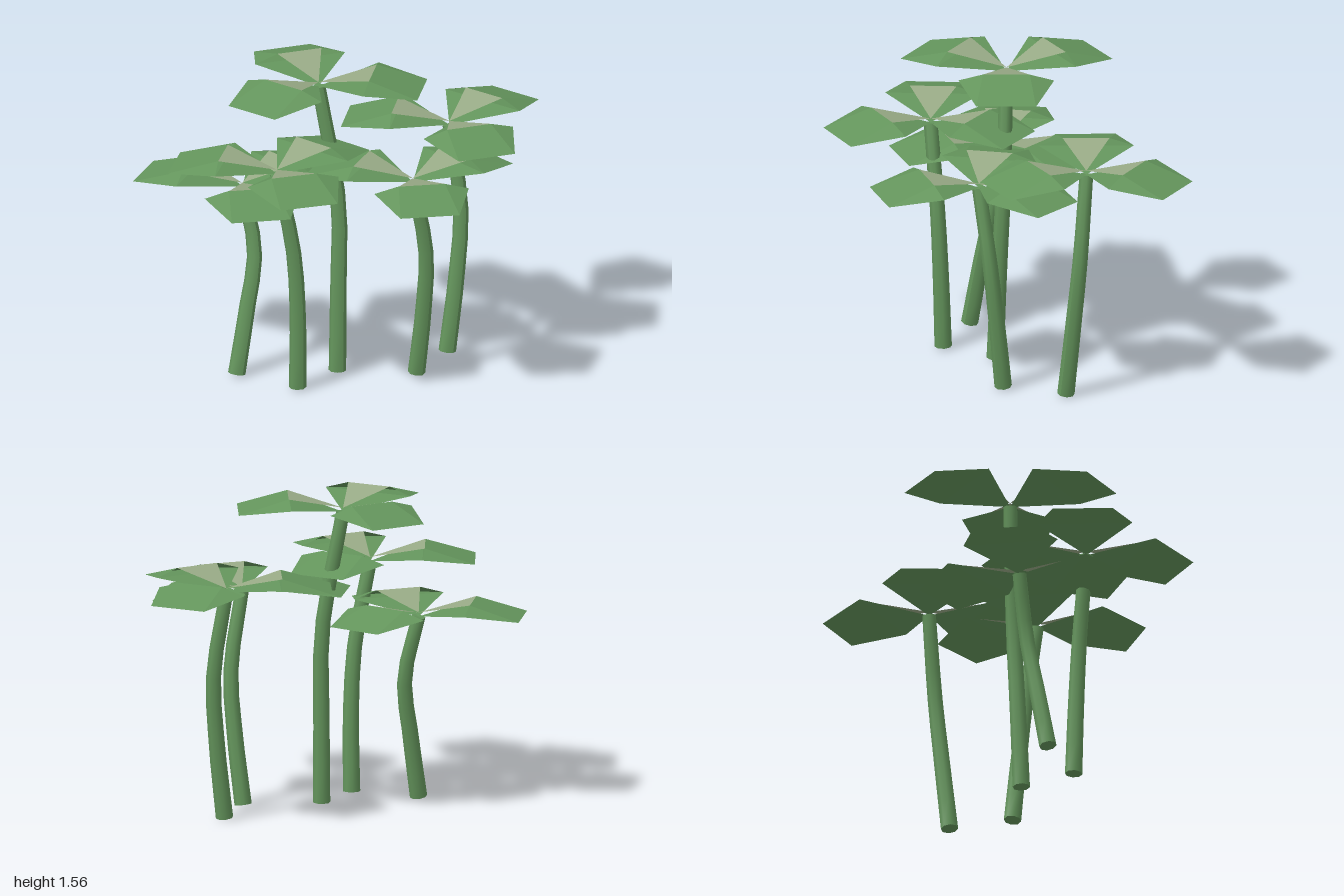
import * as THREE from 'three';

const green = new THREE.MeshStandardMaterial({ color: 0x64955c, side: THREE.DoubleSide });
green.name = 'leafGreen';
const stemGreen = new THREE.MeshStandardMaterial({ color: 0x64955c });
stemGreen.name = 'stemGreen';
const pale = new THREE.MeshStandardMaterial({ color: 0x98aa86, side: THREE.DoubleSide });
pale.name = 'paleGreen';

// Faceted surface from corner points, each facet a fan of corners
function facets(list) {
  const pos = [];
  for (const f of list)
    for (let i = 1; i < f.length - 1; i++) pos.push(...f[0], ...f[i], ...f[i + 1]);
  const g = new THREE.BufferGeometry();
  g.setAttribute('position', new THREE.Float32BufferAttribute(pos, 3));
  g.computeVertexNormals();
  return g;
}

// One leaf points along +x: root, fold corners, side corners and tip corners
const root = [0, 0, 0];
const fold = s => [0.27, 0.087, 0.115 * s];
const side = s => [0.26, 0.052, 0.235 * s];
const tip = s => [0.516, 0.014, 0.147 * s];
const bladeGeometry = facets([
  [root, side(1), side(-1)],                // flat inner half
  [fold(1), side(1), tip(1)],               // raised outer half
  [fold(-1), tip(-1), side(-1)],
  [fold(1), tip(1), tip(-1), fold(-1)],
  [side(1), side(-1), tip(-1), tip(1)],     // outer underside
]);
// Pale plate rising from the root to the fold, above the inner half
const heartGeometry = facets([[[0, 0.02, 0], fold(1), fold(-1)]]);

// Tapered cylinder whose rings follow a curve
function stemGeometry(points) {
  const curve = new THREE.CatmullRomCurve3(points.map(p => new THREE.Vector3(...p)));
  const g = new THREE.CylinderGeometry(0.034, 0.043, 1, 8, 8);
  const pos = g.attributes.position;
  const up = new THREE.Vector3(0, 1, 0), q = new THREE.Quaternion(), v = new THREE.Vector3();
  for (let i = 0; i < pos.count; i++) {
    v.fromBufferAttribute(pos, i);
    const t = THREE.MathUtils.clamp(v.y + 0.5, 0, 1);
    v.y = 0;
    q.setFromUnitVectors(up, curve.getTangentAt(t));
    v.applyQuaternion(q).add(curve.getPointAt(t));
    pos.setXYZ(i, v.x, v.y, v.z);
  }
  g.computeVertexNormals();
  return g;
}

// Stem path from ground to head, and heading of the first of three leaves
const plants = [
  { angle: 172, path: [[-0.18, 0.01, 0.02], [-0.165, 0.45, 0.01], [-0.15, 0.88, -0.005], [-0.2, 1.477, -0.095]] },
  { angle: -8.5, path: [[0.395, 0.01, 0.19], [0.45, 0.4, 0.198], [0.485, 0.74, 0.19], [0.47, 1.16, 0.123]] },
  { angle: 123, path: [[0.09, 0.01, 0.3], [0.09, 0.35, 0.35], [0.075, 0.67, 0.385], [-0.003, 1.055, 0.375]] },
  { angle: 242, path: [[-0.575, 0.01, -0.28], [-0.51, 0.32, -0.28], [-0.45, 0.62, -0.287], [-0.463, 0.94, -0.363]] },
  { angle: 114.5, path: [[-0.477, 0.01, 0.055], [-0.485, 0.4, 0.065], [-0.51, 0.74, 0.06], [-0.583, 1.15, 0.02]] },
];

export function createModel() {
  const model = new THREE.Group();
  model.name = 'leafyPlants';
  for (const { angle, path } of plants) {
    const plant = new THREE.Group();
    plant.name = 'plant';
    const stem = new THREE.Mesh(stemGeometry(path), stemGreen);
    stem.name = 'stem';
    plant.add(stem);
    // Three leaves around the top of the stem
    for (let k = 0; k < 3; k++) {
      const leaf = new THREE.Group();
      leaf.name = 'leaf';
      const blade = new THREE.Mesh(bladeGeometry, green);
      blade.name = 'leafBlade';
      const heart = new THREE.Mesh(heartGeometry, pale);
      heart.name = 'leafHeart';
      leaf.add(blade, heart);
      leaf.position.set(...path[path.length - 1]);
      leaf.rotation.y = -THREE.MathUtils.degToRad(angle + 120 * k);
      plant.add(leaf);
    }
    model.add(plant);
  }
  return model;
}
